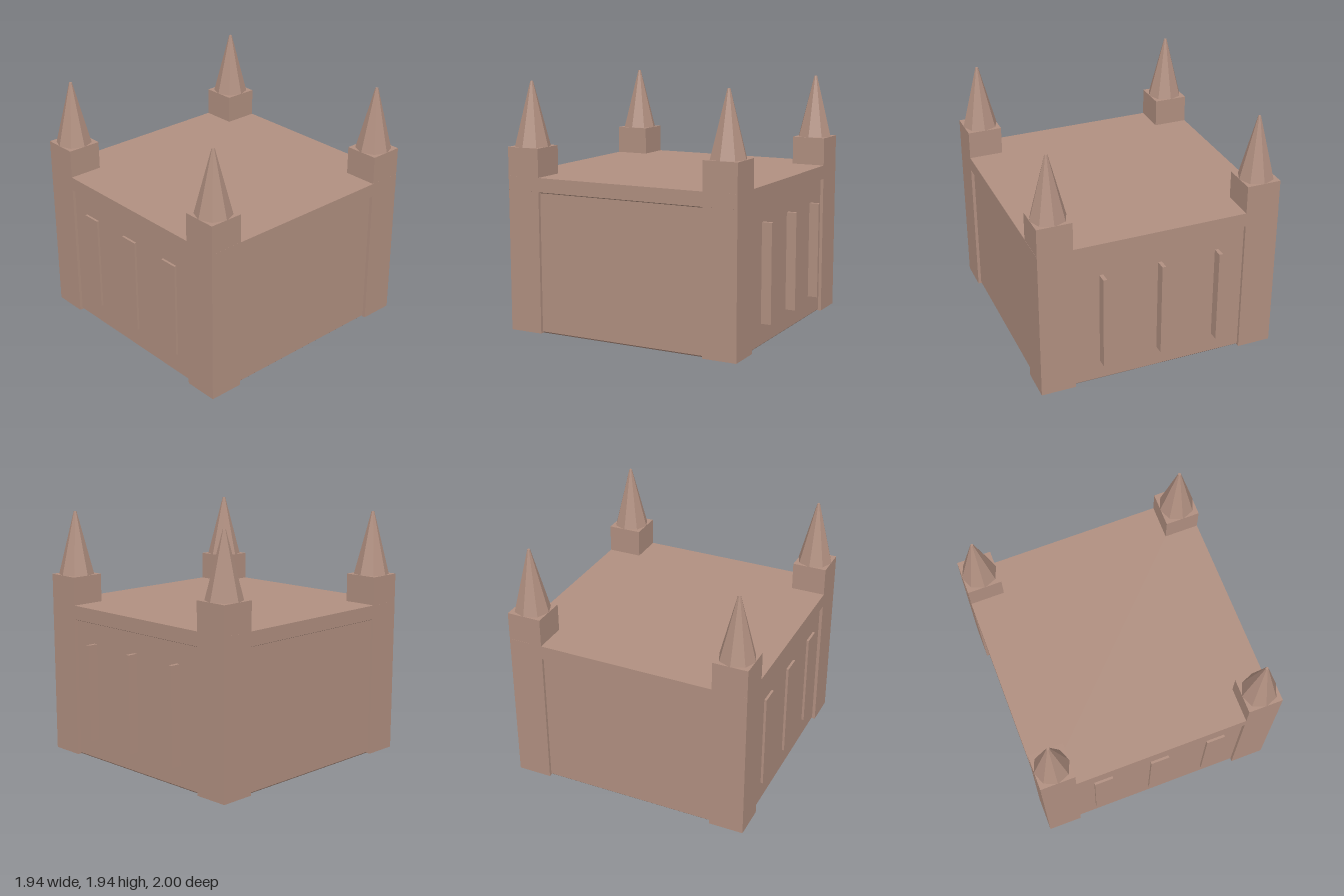
import * as THREE from 'three';

export function createModel() {
  const model = new THREE.Group();
  const stone = new THREE.MeshStandardMaterial({ color: 0xb08f80, flatShading: true });
  stone.name = 'stone';

  const add = (name, geometry, x = 0, y = 0, z = 0) => {
    const mesh = new THREE.Mesh(geometry, stone);
    mesh.name = name;
    mesh.position.set(x, y, z);
    model.add(mesh);
  };

  // Outer limits of the walls
  const W = 0.967, FRONT = 0.996, BACK = -0.945, RECESS = 0.025;

  // Hall: stacked rectangles [height, inset] give recessed walls under a bevelled lintel
  const rings = [[0, 0.037], [0.012, RECESS], [1.1, RECESS], [1.11, 0], [1.22, 0]];
  const corners = ([y, i]) => [
    [-W + i, y, FRONT - i], [W - i, y, FRONT - i], [W - i, y, BACK + i], [-W + i, y, BACK + i],
  ];
  const positions = [];
  const quad = (a, b, c, d) => positions.push(...a, ...b, ...c, ...a, ...c, ...d);
  for (let r = 0; r < rings.length - 1; r++) {
    const lo = corners(rings[r]), hi = corners(rings[r + 1]);
    for (let k = 0; k < 4; k++) {
      const n = (k + 1) % 4;
      quad(lo[k], lo[n], hi[n], hi[k]);
    }
  }
  quad(...corners(rings[rings.length - 1]));
  quad(...corners(rings[0]).reverse());
  const hall = new THREE.BufferGeometry();
  hall.setAttribute('position', new THREE.Float32BufferAttribute(positions, 3));
  hall.computeVertexNormals();
  add('hall', hall);

  // Square corner towers with eight-sided spires
  const TOWER = 1.443, SIZE = 0.273;
  for (const x of [-0.83, 0.83]) {
    for (const z of [0.8595, -0.8085]) {
      add('tower', new THREE.BoxGeometry(SIZE, TOWER, SIZE), x, TOWER / 2, z);
      add('spire', new THREE.CylinderGeometry(0.011, 0.14, 0.5, 8), x, TOWER + 0.25, z);
    }
  }

  // Raised front panels and slim buttresses behind
  for (const x of [-0.47, 0, 0.47]) {
    add('frontPanel', new THREE.BoxGeometry(0.15, 0.77, 0.04), x, 0.558, 0.97);
    add('backButtress', new THREE.BoxGeometry(0.03, 0.77, 0.1), x, 0.558, -0.95);
  }
  return model;
}
